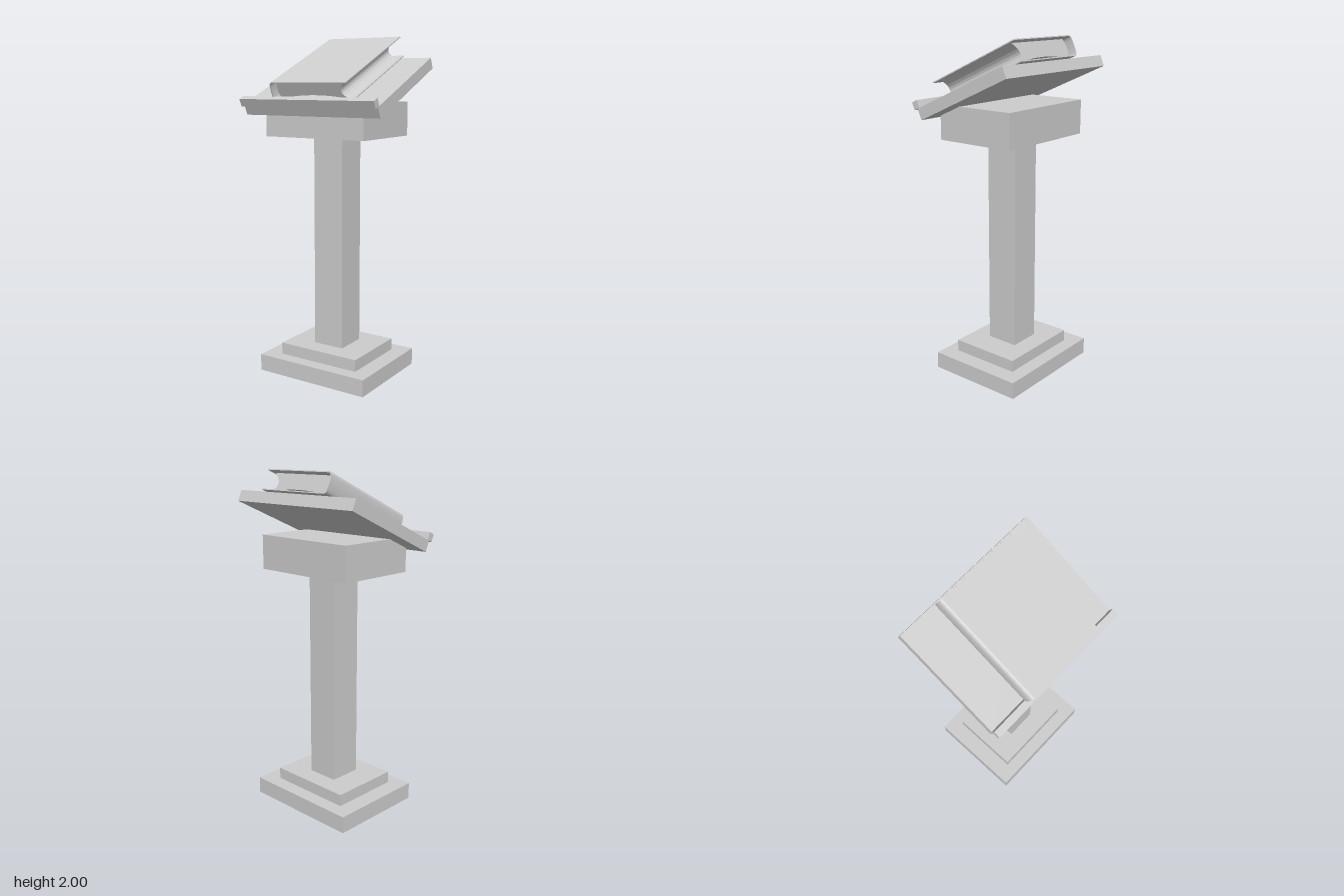
import * as THREE from 'three';

export function createModel() {
  const model = new THREE.Group();
  model.name = 'lectern';
  const stone = new THREE.MeshStandardMaterial({ color: 0xcccccc });
  stone.name = 'plain grey';

  const add = (parent, name, geometry) => {
    const mesh = new THREE.Mesh(geometry, stone);
    mesh.name = name;
    parent.add(mesh);
    return mesh;
  };
  // Box given by its limits on each axis
  const box = (parent, name, [x0, x1], [y0, y1], [z0, z1]) =>
    add(parent, name, new THREE.BoxGeometry(x1 - x0, y1 - y0, z1 - z0))
      .position.set((x0 + x1) / 2, (y0 + y1) / 2, (z0 + z1) / 2);
  // Cross-section in x,y run from z0 to z1
  const run = (parent, name, shape, z0, z1) => {
    const geometry = new THREE.ExtrudeGeometry(shape, { depth: z1 - z0, bevelEnabled: false, curveSegments: 8 });
    add(parent, name, geometry).position.z = z0;
  };

  // Stand
  box(model, 'base', [-0.367, 0.36], [0, 0.1], [-0.315, 0.28]);
  box(model, 'baseStep', [-0.265, 0.26], [0.1, 0.17], [-0.23, 0.2]);
  box(model, 'column', [-0.1, 0.095], [0.17, 1.43], [-0.115, 0.083]);
  box(model, 'headBlock', [-0.333, 0.327], [1.43, 1.63], [-0.265, 0.233]);

  // Sloping desk: its top surface is y = 0 of this group
  const desk = new THREE.Group();
  desk.name = 'desk';
  desk.position.set(0, 1.747, -0.012);
  desk.rotation.x = 0.415;
  model.add(desk);
  box(desk, 'board', [-0.45, 0.447], [-0.066, 0], [-0.33, 0.33]);
  box(desk, 'ledge', [-0.45, 0.447], [0, 0.046], [0.316, 0.356]);

  // Book cover: a thin C-shaped shell with a rounded spine
  const book = new THREE.Group();
  book.name = 'book';
  desk.add(book);
  const bottom = 0.013, top = 0.135, thick = 0.006, edge = 0.277;
  const cover = new THREE.Shape();
  cover.moveTo(edge, bottom);
  cover.lineTo(-0.208, bottom);
  cover.quadraticCurveTo(-0.226, bottom, -0.229, 0.04);
  cover.quadraticCurveTo(-0.233, 0.074, -0.229, 0.108);
  cover.quadraticCurveTo(-0.226, top, -0.208, top);
  cover.lineTo(edge, top);
  cover.lineTo(edge, top - thick);
  cover.lineTo(-0.206, top - thick);
  cover.quadraticCurveTo(-0.219, top - thick, -0.222, 0.106);
  cover.quadraticCurveTo(-0.226, 0.074, -0.222, 0.042);
  cover.quadraticCurveTo(-0.219, bottom + thick, -0.206, bottom + thick);
  cover.lineTo(edge, bottom + thick);
  run(book, 'cover', cover, -0.324, 0.323);

  // Page block with a hollow fore edge and a slightly arched underside
  const pages = new THREE.Shape();
  pages.moveTo(-0.2, bottom + thick);
  pages.quadraticCurveTo(0.03, 0.06, 0.255, bottom + thick);
  pages.quadraticCurveTo(0.16, 0.06, 0.255, top - thick);
  pages.lineTo(-0.2, top - thick);
  pages.quadraticCurveTo(-0.235, 0.074, -0.2, bottom + thick);
  run(book, 'pages', pages, -0.28, 0.279);

  return model;
}
